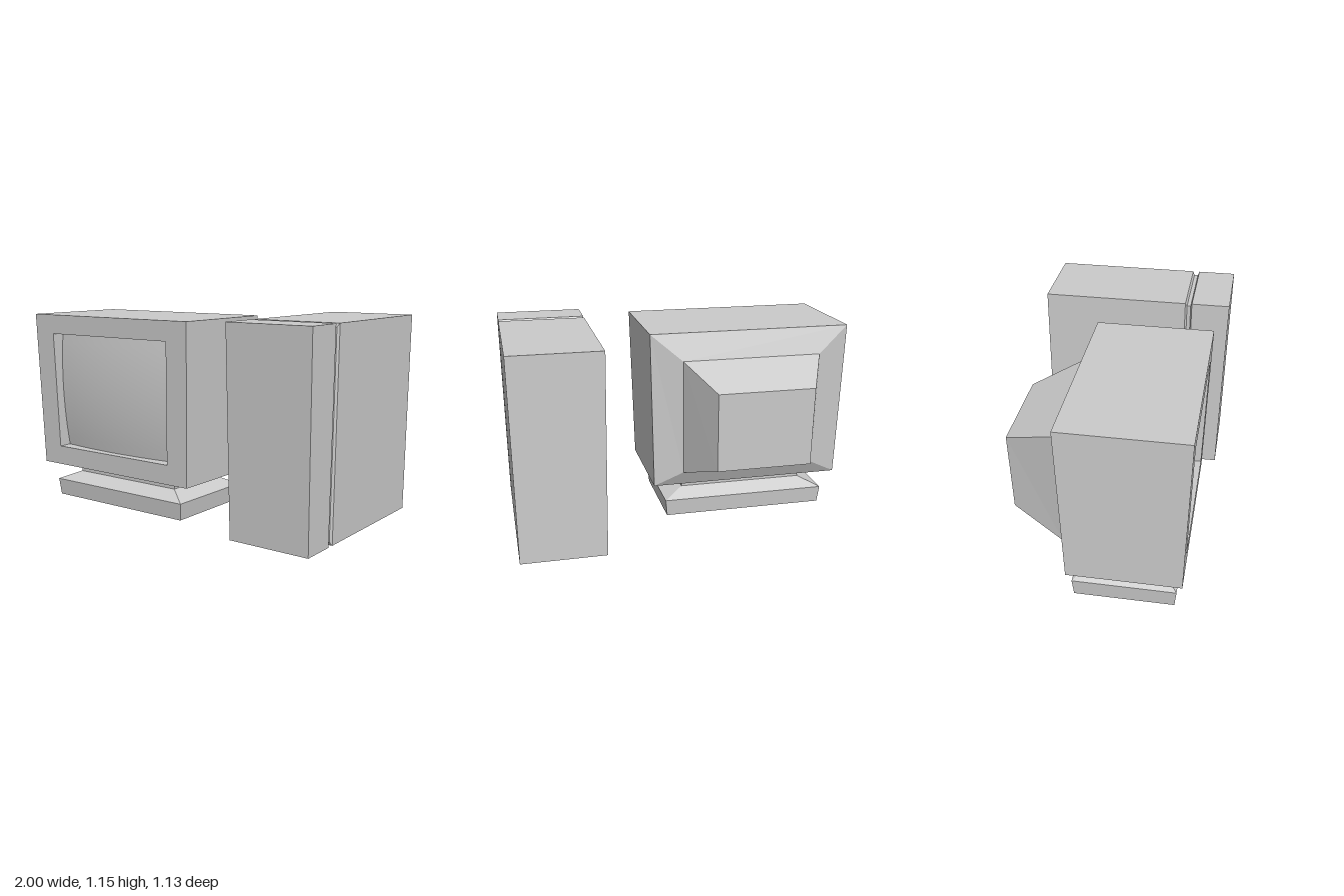
import * as THREE from 'three';

const material = new THREE.MeshStandardMaterial({ color: 0xcccccc, flatShading: true });

// Flat-sided solid through a series of four-cornered rings; caps are optional
function loft(name, rings, capStart = true, capEnd = true) {
  const pos = [];
  const quad = (a, b, c, d) => pos.push(...a, ...b, ...c, ...a, ...c, ...d);
  for (let k = 0; k < rings.length - 1; k++) {
    const r = rings[k], s = rings[k + 1];
    for (let i = 0; i < 4; i++) {
      const j = (i + 1) % 4;
      quad(r[i], r[j], s[j], s[i]);
    }
  }
  if (capStart) quad(...[...rings[0]].reverse());
  if (capEnd) quad(...rings[rings.length - 1]);
  const geo = new THREE.BufferGeometry();
  geo.setAttribute('position', new THREE.Float32BufferAttribute(pos, 3));
  geo.computeVertexNormals();
  const mesh = new THREE.Mesh(geo, material);
  mesh.name = name;
  return mesh;
}

// Upright ring: half widths, heights and depths at bottom and top
const upright = (cx, wb, wt, yb, yt, zb, zt = zb) => [
  [cx - wb, yb, zb], [cx + wb, yb, zb], [cx + wt, yt, zt], [cx - wt, yt, zt],
];
// Level ring at height y
const level = (cx, w, y, z0, z1) => [
  [cx - w, y, z1], [cx + w, y, z1], [cx + w, y, z0], [cx - w, y, z0],
];

const MX = -0.408; // monitor centre line
const TX = 0.746;  // tower centre line
const frontZ = (y) => 0.475 + (0.025 * (y - 0.21)) / 0.93; // leaning front plane

function createMonitor() {
  const g = new THREE.Group();
  g.name = 'monitor';
  const yb = 0.325, yt = 1.025, wb = 0.43, wt = 0.445, deep = 0.085;

  // Housing from rear tube cover to the recessed screen opening
  g.add(loft('monitorHousing', [
    upright(MX, 0.275, 0.28, 0.41, 0.865, -0.5, -0.515),
    upright(MX, 0.4, 0.41, 0.3, 0.985, -0.2, -0.23),
    upright(MX, 0.568, 0.592, 0.21, 1.14, -0.155, -0.185),
    upright(MX, 0.568, 0.592, 0.21, 1.14, 0.475, 0.5),
    upright(MX, wb, wt, yb, yt, frontZ(yb), frontZ(yt)),
    upright(MX, wb, wt, yb, yt, frontZ(yb) - deep, frontZ(yt) - deep),
  ], true, false));

  // Bulging screen
  const geo = new THREE.PlaneGeometry(2, 2, 12, 12);
  const p = geo.attributes.position;
  for (let i = 0; i < p.count; i++) {
    const u = p.getX(i), v = p.getY(i);
    const y = THREE.MathUtils.lerp(yb, yt, (v + 1) / 2);
    const w = THREE.MathUtils.lerp(wb, wt, (v + 1) / 2);
    p.setXYZ(i, MX + u * w, y, frontZ(y) - 0.025 - 0.03 * u * u - 0.025 * v * v);
  }
  geo.computeVertexNormals();
  const screen = new THREE.Mesh(geo, new THREE.MeshStandardMaterial({ color: 0xcccccc }));
  screen.name = 'screen';
  g.add(screen);

  // Foot with sloped shoulders and a neck
  g.add(loft('monitorStand', [
    level(MX, 0.485, 0, -0.13, 0.43),
    level(MX, 0.495, 0.1, -0.14, 0.44),
    level(MX, 0.377, 0.15, -0.05, 0.35),
    level(MX, 0.377, 0.212, -0.05, 0.35),
  ]));
  // Thin plate under the housing
  g.add(loft('swivelPlate', [
    level(MX, 0.5, 0.207, -0.1, 0.42),
    level(MX, 0.5, 0.212, -0.1, 0.42),
  ]));
  return g;
}

function createTower() {
  const g = new THREE.Group();
  g.name = 'tower';
  const wb = 0.24, wt = 0.254, h = 1.155;
  // Case with a shallow groove behind the front panel
  g.add(loft('towerCase', [
    upright(TX, wb, wt, 0, h, -0.565),
    upright(TX, wb, wt, 0, h, 0.3),
    upright(TX, wb - 0.012, wt - 0.012, 0.02, h - 0.02, 0.31),
    upright(TX, wb - 0.012, wt - 0.012, 0.02, h - 0.02, 0.332),
    upright(TX, wb, wt, 0, h, 0.34),
    upright(TX, wb, wt, 0, h, 0.545, 0.568),
  ]));
  return g;
}

export function createModel() {
  const model = new THREE.Group();
  model.name = 'desktopComputer';
  model.add(createMonitor(), createTower());
  return model;
}
